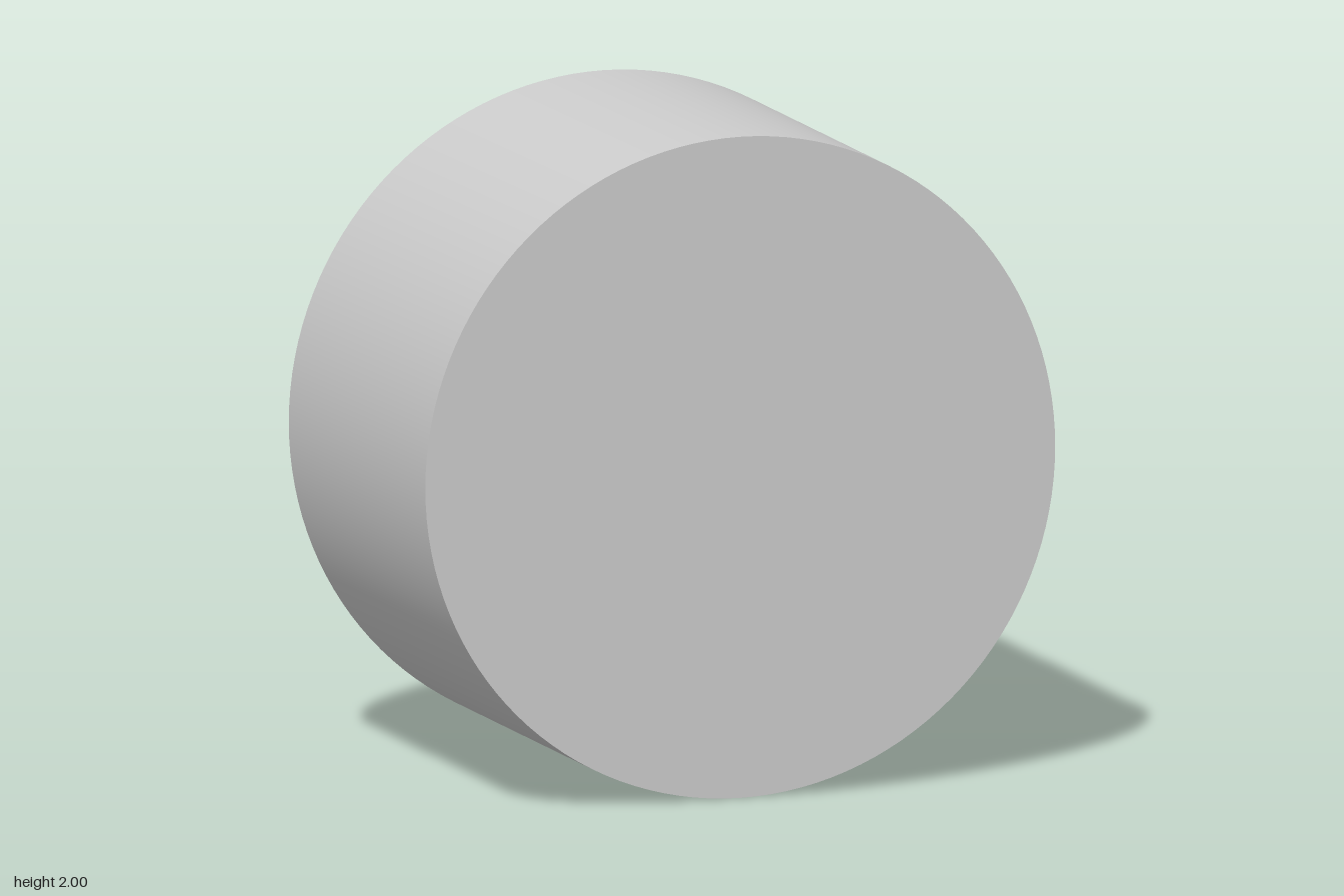
import * as THREE from 'three';
import { toCreasedNormals } from 'three/addons/utils/BufferGeometryUtils.js';

export function createModel() {
  const group = new THREE.Group();
  const grey = new THREE.MeshStandardMaterial({ color: 0xcccccc });
  grey.name = 'light grey';

  const half = 0.58; // half the depth of the housing
  const floorZ = 0.32; // inner floor, facing the open back

  // Round cup: closed at the front, open at the back
  const profile = [
    [0, -half], [1, -half], [1, half],
    [0.82, half], [0.82, -floorZ], [0, -floorZ],
  ].map(([r, y]) => new THREE.Vector2(r, y));
  const cupGeometry = toCreasedNormals(new THREE.LatheGeometry(profile, 128), 0.5);
  cupGeometry.rotateX(-Math.PI / 2);
  const housing = new THREE.Mesh(cupGeometry, grey);
  housing.name = 'housing';
  housing.position.y = 1;
  group.add(housing);

  // Three pins standing on the inner floor, ending short of the rim
  const pinLength = 0.7;
  const pinGeometry = new THREE.CylinderGeometry(0.1, 0.1, pinLength, 48);
  pinGeometry.rotateX(-Math.PI / 2);
  const pins = { leftPin: [0.38, 1.16], rightPin: [-0.38, 1.16], lowerPin: [0, 0.62] };
  for (const [name, [x, y]] of Object.entries(pins)) {
    const pin = new THREE.Mesh(pinGeometry, grey);
    pin.name = name;
    pin.position.set(x, y, floorZ - pinLength / 2);
    group.add(pin);
  }

  return group;
}
